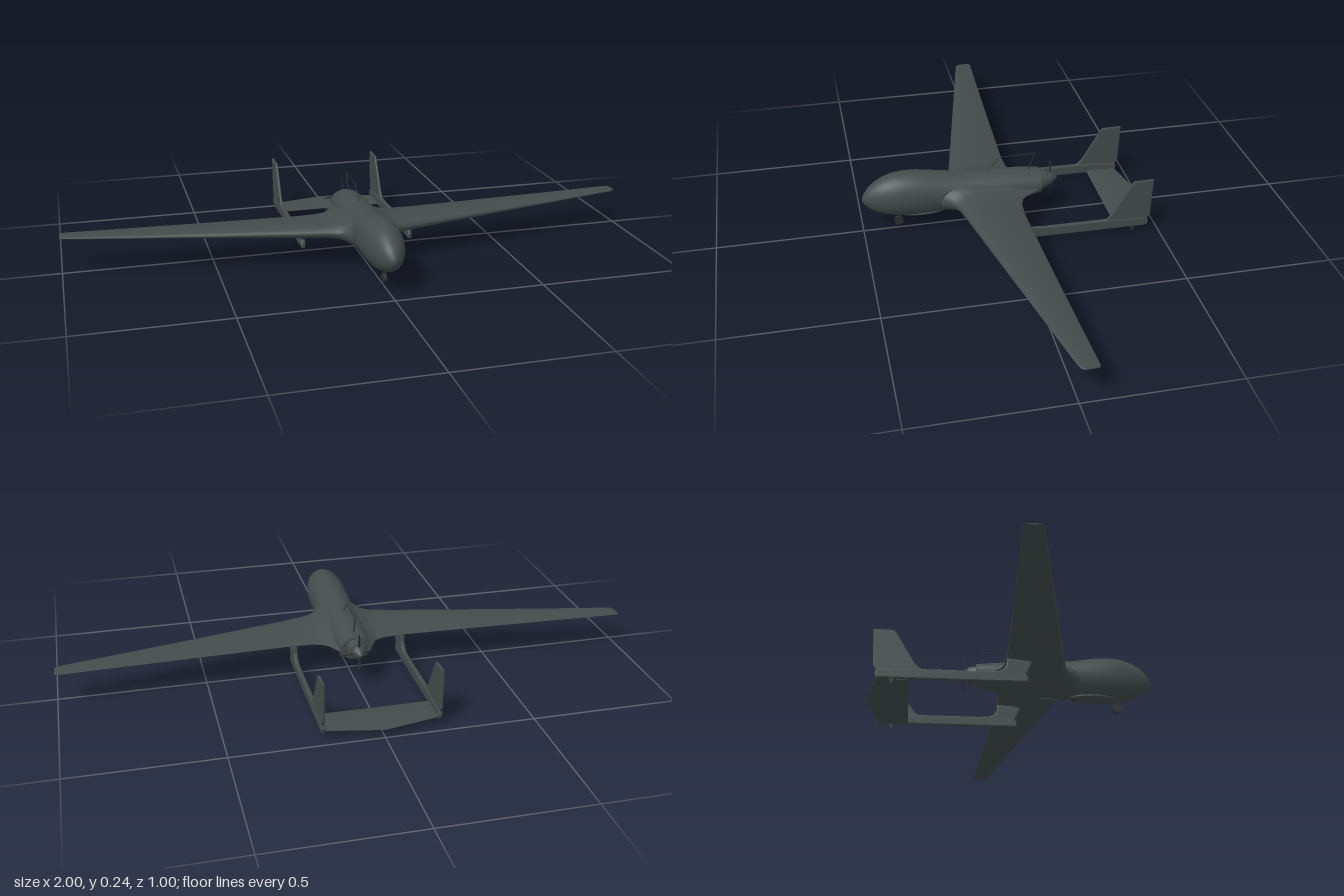
import * as THREE from 'three';

const skin = new THREE.MeshStandardMaterial({ color: 0x434b4b });
skin.name = 'slateGrey';
const dark = new THREE.MeshStandardMaterial({ color: 0x2a2e2e });
dark.name = 'darkGrey';

// Joins cross-sections into a smooth skin with flat end caps
function loft(rings, flip = false) {
  const n = rings[0].length, pos = [], idx = [];
  const tri = (a, b, c) => (flip ? idx.push(a, c, b) : idx.push(a, b, c));
  rings.forEach(r => r.forEach(p => pos.push(...p)));
  for (let i = 0; i < rings.length - 1; i++) {
    for (let j = 0; j < n; j++) {
      const a = i * n + j, b = i * n + (j + 1) % n;
      tri(a, b, b + n);
      tri(a, b + n, a + n);
    }
  }
  [rings[0], rings[rings.length - 1]].forEach((r, end) => {
    const s = pos.length / 3;
    r.forEach(p => pos.push(...p));
    for (let j = 1; j < n - 1; j++) end ? tri(s, s + j, s + j + 1) : tri(s, s + j + 1, s + j);
  });
  const g = new THREE.BufferGeometry();
  g.setAttribute('position', new THREE.Float32BufferAttribute(pos, 3));
  g.setIndex(idx);
  g.computeVertexNormals();
  return g;
}

// Airfoil section at x: leading z, trailing z, mid height, half thickness
function airfoil([x, lead, trail, y, half], side = 1) {
  const ring = [];
  for (let j = 0; j < 28; j++) {
    const a = j / 28 * Math.PI * 2, c = Math.cos(a);
    ring.push([side * x, y - Math.sin(a) * (0.62 + 0.38 * c) * half * 1.38, (lead + trail) / 2 + c * (lead - trail) / 2]);
  }
  return ring;
}

// Side-view outline [z, y] given a thickness along x and rounded edges
function sidePlate(points, thick, bevel) {
  const shape = new THREE.Shape(points.map(([z, y]) => new THREE.Vector2(z, y)));
  const depth = thick - 2 * bevel;
  const g = new THREE.ExtrudeGeometry(shape, {
    depth, bevelEnabled: true, bevelThickness: bevel, bevelSize: bevel, bevelOffset: -bevel, bevelSegments: 2
  });
  g.translate(0, 0, -depth / 2);
  g.rotateY(-Math.PI / 2);
  return g;
}

// Straight round rod between two points
function rod(a, b, r) {
  return new THREE.TubeGeometry(new THREE.LineCurve3(new THREE.Vector3(...a), new THREE.Vector3(...b)), 1, r, 8);
}

export function createModel() {
  const model = new THREE.Group();
  const add = (name, geo, mat = skin, parent = model) => {
    const m = new THREE.Mesh(geo, mat);
    m.name = name;
    parent.add(m);
    return m;
  };

  // Fuselage: z, half width, bottom, top
  const stations = [
    [-0.122, 0.054, 0.092, 0.172], [-0.08, 0.058, 0.085, 0.177], [-0.03, 0.061, 0.076, 0.182],
    [0.03, 0.063, 0.069, 0.186], [0.1, 0.064, 0.066, 0.189], [0.17, 0.065, 0.064, 0.193],
    [0.22, 0.066, 0.061, 0.2], [0.27, 0.067, 0.057, 0.21], [0.31, 0.067, 0.055, 0.216],
    [0.35, 0.066, 0.056, 0.218], [0.39, 0.062, 0.06, 0.214], [0.425, 0.054, 0.068, 0.203],
    [0.455, 0.042, 0.08, 0.186], [0.478, 0.029, 0.094, 0.166], [0.492, 0.015, 0.109, 0.146],
    [0.4985, 0.004, 0.121, 0.131]
  ];
  add('fuselage', loft(stations.map(([z, w, b, t]) => {
    const ring = [];
    for (let j = 0; j < 40; j++) {
      const a = j / 40 * Math.PI * 2;
      ring.push([w * Math.cos(a), (b + t) / 2 + Math.sin(a) * (t - b) / 2, z]);
    }
    return ring;
  })));

  // Belly tray and sensor bump
  const tray = add('bellyTray', new THREE.SphereGeometry(1, 24, 10));
  tray.scale.set(0.035, 0.012, 0.09);
  tray.position.set(0, 0.063, 0.295);
  add('bellySensor', new THREE.SphereGeometry(0.009, 14, 10), dark).position.set(0, 0.062, 0.22);

  // Wings with filleted roots
  const wingStations = [
    [0.035, 0.27, -0.118, 0.122, 0.052], [0.058, 0.25, -0.108, 0.121, 0.045],
    [0.07, 0.225, -0.085, 0.12, 0.039], [0.082, 0.205, -0.06, 0.119, 0.034],
    [0.1, 0.19, -0.043, 0.118, 0.029], [0.13, 0.179, -0.033, 0.118, 0.026],
    [0.2, 0.164, -0.029, 0.118, 0.022], [0.5, 0.102, -0.04, 0.119, 0.014],
    [0.8, 0.04, -0.052, 0.12, 0.008], [0.975, 0.004, -0.06, 0.121, 0.005],
    [0.993, -0.002, -0.06, 0.121, 0.004], [1, -0.012, -0.055, 0.121, 0.002]
  ];
  for (const side of [1, -1]) {
    const name = side > 0 ? 'left' : 'right';
    add(name + 'Wing', loft(wingStations.map(s => airfoil(s, side)), side < 0));

    // Tail boom with its pylon to the wing
    add(name + 'Boom', sidePlate([
      [0.058, 0.105], [0.048, 0.08], [0.036, 0.055], [0.044, 0.04], [0.042, 0.026], [-0.2, 0.023],
      [-0.46, 0.021], [-0.465, 0.035], [-0.46, 0.05], [-0.34, 0.058], [-0.09, 0.06],
      [-0.055, 0.063], [-0.038, 0.072], [-0.03, 0.088], [-0.028, 0.11]
    ], 0.015, 0.004)).position.x = side * 0.192;

    // Swept fin
    add(name + 'Fin', sidePlate([
      [-0.3, 0.055], [-0.318, 0.063], [-0.333, 0.078], [-0.4, 0.192], [-0.408, 0.199],
      [-0.476, 0.2], [-0.47, 0.062], [-0.462, 0.05], [-0.455, 0.03], [-0.33, 0.04]
    ], 0.009, 0.003)).position.x = side * 0.193;

    // Tail skid
    add(name + 'TailSkid', sidePlate([
      [-0.398, 0.028], [-0.404, 0.004], [-0.408, 0], [-0.412, 0.002], [-0.419, 0.028]
    ], 0.006, 0.001), dark).position.x = side * 0.192;
  }

  // Tailplane between the booms
  add('tailplane', loft([-0.19, 0, 0.19].map(x =>
    airfoil([x, -0.35, x ? -0.458 : -0.497, 0.026, 0.006]))));

  // Engine housing and spinner, turned about the rear axis
  const turned = (name, pts, mat) => {
    const g = new THREE.LatheGeometry(pts.map(p => new THREE.Vector2(...p)), 28);
    g.rotateX(-Math.PI / 2);
    g.translate(0, 0.133, 0);
    return add(name, g, mat);
  };
  turned('engineHousing', [[0, 0.11], [0.038, 0.11], [0.038, 0.122], [0.034, 0.122], [0.031, 0.146], [0.026, 0.15], [0, 0.15]]
    .reverse().map(([r, z]) => [r, z]).reverse(), skin);
  turned('spinner', [[0, 0.148], [0.024, 0.148], [0.025, 0.156], [0.018, 0.168], [0.009, 0.18], [0, 0.187]], skin);

  // Four-blade pusher propeller
  const propeller = new THREE.Group();
  propeller.name = 'propeller';
  propeller.position.set(0, 0.133, -0.161);
  model.add(propeller);
  for (let i = 0; i < 4; i++) {
    const arm = new THREE.Group();
    arm.rotation.z = i * Math.PI / 2;
    propeller.add(arm);
    const blade = add('blade', new THREE.SphereGeometry(1, 14, 10), dark, arm);
    blade.scale.set(0.005, 0.033, 0.0012);
    blade.position.y = 0.037;
    blade.rotation.y = 0.5;
  }

  // Nose wheel, fork and strut
  const tyre = new THREE.CylinderGeometry(0.016, 0.016, 0.011, 24);
  tyre.rotateZ(Math.PI / 2);
  add('noseWheel', tyre, dark).position.set(0, 0.028, 0.376);
  add('noseStrut', rod([0, 0.046, 0.374], [0, 0.07, 0.37], 0.004), dark);
  for (const side of [1, -1]) {
    add('wheelFork', rod([side * 0.008, 0.026, 0.376], [side * 0.004, 0.05, 0.374], 0.002), dark);
  }

  // Wire aerial over the rear fuselage
  const wire = [[0, 0.186, 0.065], [0, 0.237, 0.016], [0, 0.237, -0.106], [0, 0.176, -0.083]];
  for (let i = 0; i < 3; i++) add('aerial', rod(wire[i], wire[i + 1], i === 2 ? 0.002 : 0.0014), dark);

  return model;
}
